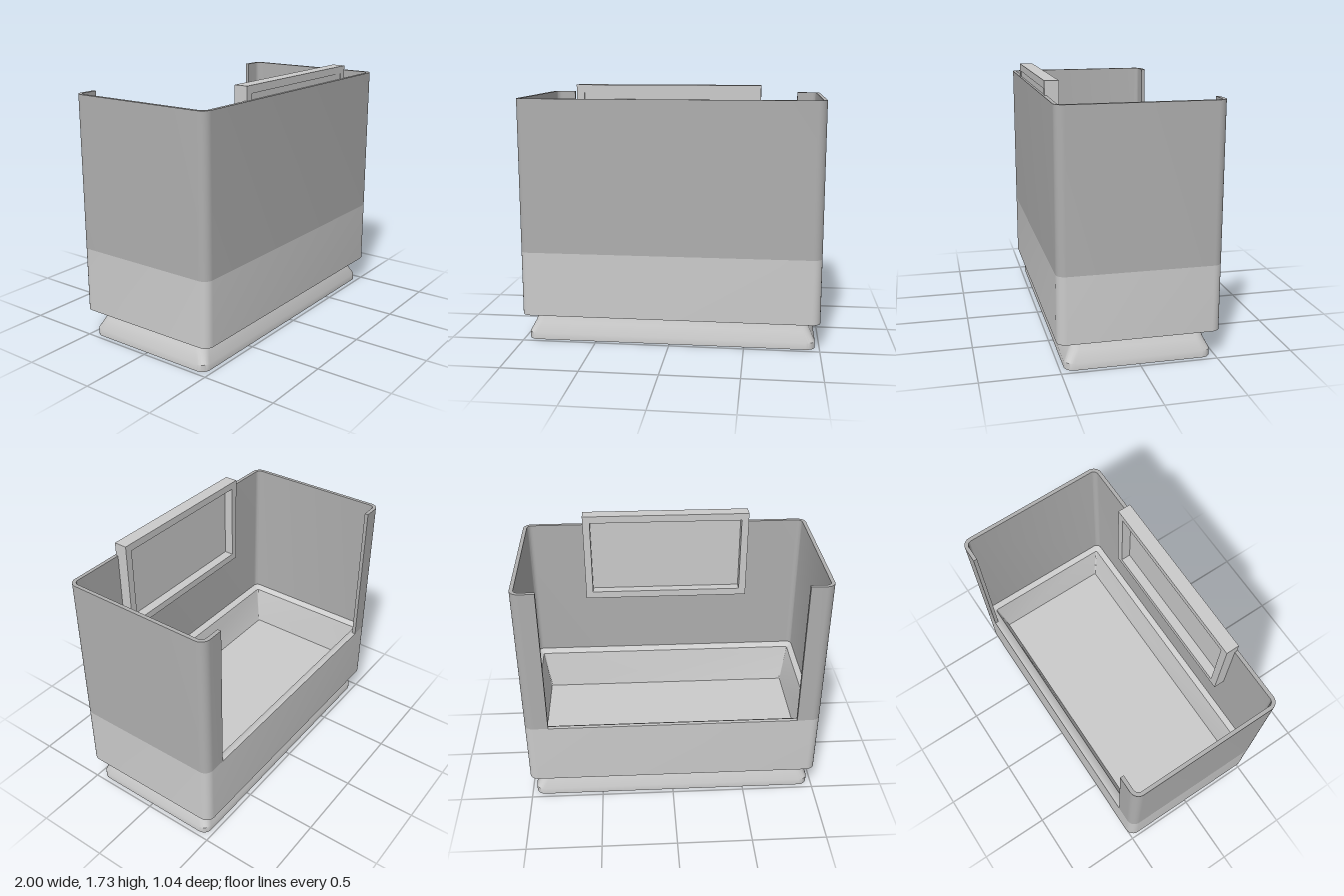
import * as THREE from 'three';
import { toCreasedNormals } from 'three/addons/utils/BufferGeometryUtils.js';

const grey = new THREE.MeshStandardMaterial({ color: 0xcccccc });
const darkGrey = new THREE.MeshStandardMaterial({ color: 0xafafaf });
const CORNER_STEPS = 6;

// Rounded rectangle at height y, counter-clockwise seen from above
function ring([hx, hz, r, y]) {
  const points = [];
  const corners = [[1, 1], [-1, 1], [-1, -1], [1, -1]];
  corners.forEach(([sx, sz], i) => {
    for (let k = 0; k <= CORNER_STEPS; k++) {
      const a = (i + k / CORNER_STEPS) * Math.PI / 2;
      points.push([
        sx * (hx - r) + r * Math.cos(a), y,
        -(sz * (hz - r) + r * Math.sin(a)),
      ]);
    }
  });
  return points;
}

// Skin a list of [halfWidth, halfDepth, cornerRadius, y] sections
function loft(sections) {
  const rings = sections.map(ring);
  const n = rings[0].length;
  const positions = [];
  for (let j = 0; j < rings.length - 1; j++) {
    for (let i = 0; i < n; i++) {
      const a = rings[j][i], b = rings[j][(i + 1) % n];
      const c = rings[j + 1][(i + 1) % n], d = rings[j + 1][i];
      if (sections[j][0] > 0) positions.push(...a, ...b, ...c);
      if (sections[j + 1][0] > 0) positions.push(...a, ...c, ...d);
    }
  }
  const geometry = new THREE.BufferGeometry();
  geometry.setAttribute('position', new THREE.Float32BufferAttribute(positions, 3));
  return toCreasedNormals(geometry, 0.6);
}

// Thin wall in plan, open along the middle of the back
function shellShape(hx, hz, r, t, gap) {
  const s = new THREE.Shape();
  const q = Math.PI / 2, ri = r - t;
  s.moveTo(gap, hz);
  s.lineTo(gap, hz - t);
  s.lineTo(hx - r, hz - t);
  s.absarc(hx - r, hz - r, ri, q, 0, true);
  s.absarc(hx - r, -hz + r, ri, 0, -q, true);
  s.absarc(-hx + r, -hz + r, ri, -q, -2 * q, true);
  s.absarc(-hx + r, hz - r, ri, 2 * q, q, true);
  s.lineTo(-gap, hz - t);
  s.lineTo(-gap, hz);
  s.absarc(-hx + r, hz - r, r, q, 2 * q, false);
  s.absarc(-hx + r, -hz + r, r, 2 * q, 3 * q, false);
  s.absarc(hx - r, -hz + r, r, -q, 0, false);
  s.absarc(hx - r, hz - r, r, 0, q, false);
  s.closePath();
  return s;
}

function rectangle(target, hx, y0, y1) {
  target.moveTo(-hx, y0);
  target.lineTo(hx, y0);
  target.lineTo(hx, y1);
  target.lineTo(-hx, y1);
  target.closePath();
  return target;
}

export function createModel() {
  const model = new THREE.Group();
  const add = (name, geometry, material = grey) => {
    const mesh = new THREE.Mesh(geometry, material);
    mesh.name = name;
    model.add(mesh);
    return mesh;
  };

  // Flared plinth
  add('base', loft([
    [0, 0, 0, 0],
    [0.97, 0.47, 0.06, 0],
    [0.97, 0.47, 0.06, 0.045],
    [0.935, 0.435, 0.06, 0.115],
    [0.908, 0.418, 0.06, 0.19],
  ]));

  // Lower tub: outer wall, rim, chamfered ledge, sloping inside and floor
  add('lowerBody', loft([
    [0, 0, 0, 0.185],
    [1, 0.52, 0.06, 0.185],
    [1, 0.52, 0.06, 0.62],
    [0.975, 0.495, 0.035, 0.62],
    [0.94, 0.457, 0.012, 0.595],
    [0.895, 0.407, 0.008, 0.33],
    [0, 0, 0, 0.33],
  ]));

  // Upper wall, open at the back
  const wall = new THREE.ExtrudeGeometry(shellShape(1, 0.52, 0.06, 0.025, 0.84), {
    depth: 1.02, bevelEnabled: false, curveSegments: CORNER_STEPS,
  });
  wall.rotateX(-Math.PI / 2);
  wall.translate(0, 0.62, 0);
  add('upperWall', toCreasedNormals(wall, 0.6), darkGrey);

  // Framed panel on the inside of the front wall
  const frame = rectangle(new THREE.Shape(), 0.585, 1.09, 1.73);
  frame.holes.push(rectangle(new THREE.Path(), 0.535, 1.14, 1.68));
  const frameGeometry = new THREE.ExtrudeGeometry(frame, { depth: 0.09, bevelEnabled: false });
  frameGeometry.translate(0, 0, 0.42);
  add('panelFrame', frameGeometry);
  add('panel', new THREE.BoxGeometry(1.08, 0.55, 0.02)).position.set(0, 1.41, 0.495);

  return model;
}
